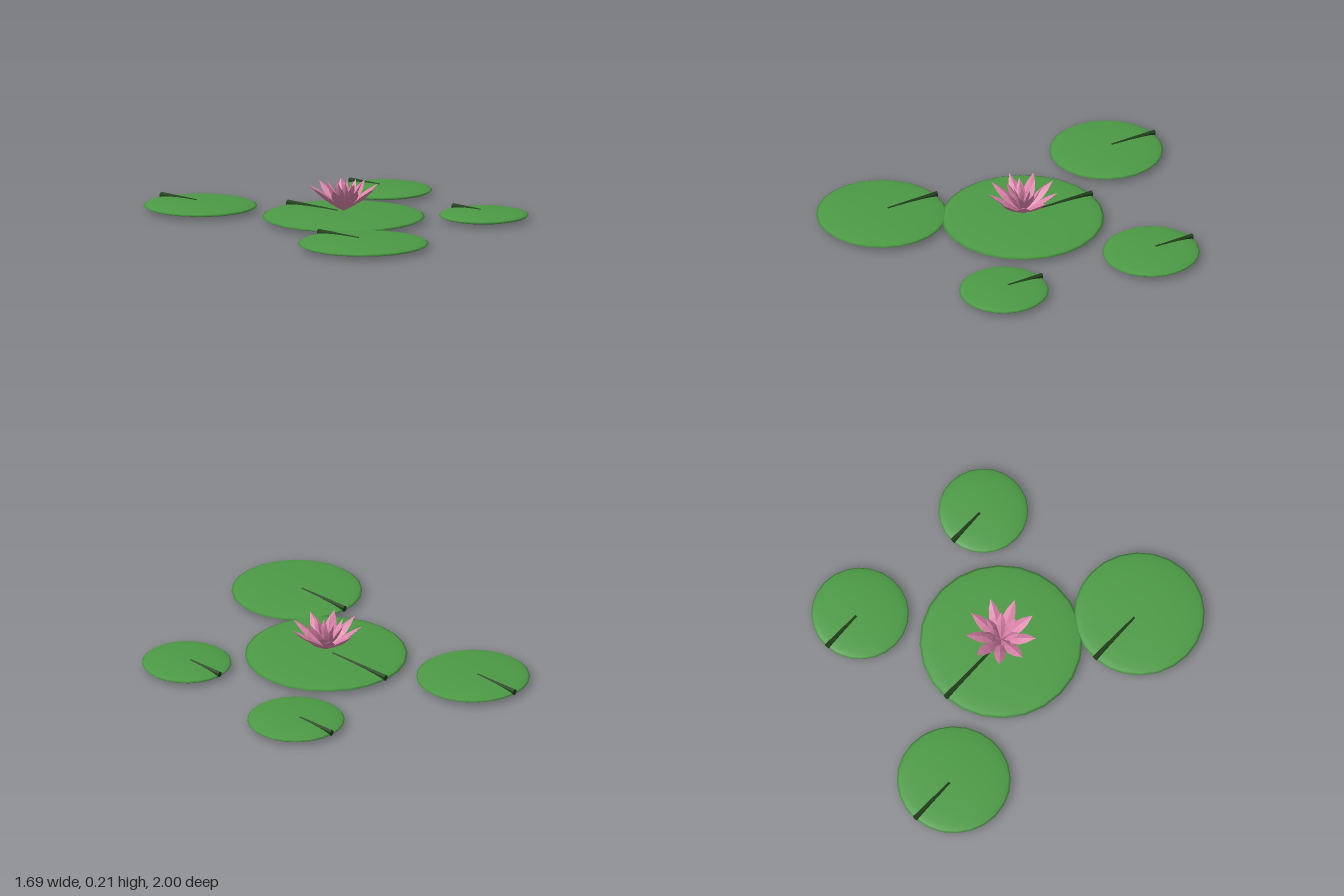
import * as THREE from 'three';

export function createModel() {
  const model = new THREE.Group();
  const mat = (name, color, flatShading = false) => {
    const m = new THREE.MeshStandardMaterial({ color, flatShading });
    m.name = name;
    return m;
  };
  const leafGreen = mat('leaf green', 0x4c9a45);
  const notchGreen = mat('dark notch green', 0x213f1b, true);
  const petalPink = mat('petal pink', 0xd983a8, true);

  const add = (parent, name, geometry, material) => {
    const mesh = new THREE.Mesh(geometry, material);
    mesh.name = name;
    parent.add(mesh);
    return mesh;
  };

  // Floating pads: x, z, radius
  const pads = [
    [-0.07, 0.04, 0.431],
    [-0.5, 0.652, 0.346],
    [-0.415, -0.7, 0.301],
    [0.585, -0.35, 0.258],
    [0.5, 0.517, 0.237],
  ];
  for (const [x, z, r] of pads) {
    const pad = new THREE.Group();
    pad.name = 'lilyPad';
    pad.position.set(x, 0.025, z);
    model.add(pad);

    // Flattened round leaf
    add(pad, 'leaf', new THREE.SphereGeometry(1, 24, 12).scale(r, 0.025, r), leafGreen);

    // Dark tapered notch running from the back rim towards the middle
    const length = r * 0.89;
    const notch = new THREE.CylinderGeometry(0.018, 0.009, length, 6);
    notch.scale(0.84, 1, 1);
    notch.rotateX(-Math.PI / 2 - Math.atan(0.009 / length));
    notch.translate(0, 0.0155, -r + length / 2);
    add(pad, 'notch', notch, notchGreen);
  }

  // Blossom: rings of pointed, ridged petals
  const flower = new THREE.Group();
  flower.name = 'flower';
  flower.position.set(-0.07, 0.055, 0.04);
  model.add(flower);

  const profile = [[0, 0], [0.6, 0.25], [1, 0.55], [0.72, 0.76], [0, 1]]
    .map(([x, y]) => new THREE.Vector2(x, y));
  const petalGeometry = (length, width, thickness) =>
    new THREE.LatheGeometry(profile, 4).scale(width / 2, length, thickness / 2);

  // count, length, width, elevation in degrees, starting turn
  const rings = [
    ['outerPetal', 9, 0.235, 0.066, 36.5, Math.PI],
    ['middlePetal', 7, 0.187, 0.052, 58, Math.PI + 0.3],
    ['innerPetal', 5, 0.165, 0.038, 73, Math.PI + 0.1],
  ];
  for (const [name, count, length, width, elevation, start] of rings) {
    const geometry = petalGeometry(length, width, width * 0.42);
    geometry.rotateX(THREE.MathUtils.degToRad(90 - elevation));
    for (let i = 0; i < count; i++) {
      const petal = add(flower, name, geometry, petalPink);
      petal.rotation.y = start + (i / count) * Math.PI * 2;
    }
  }
  return model;
}
